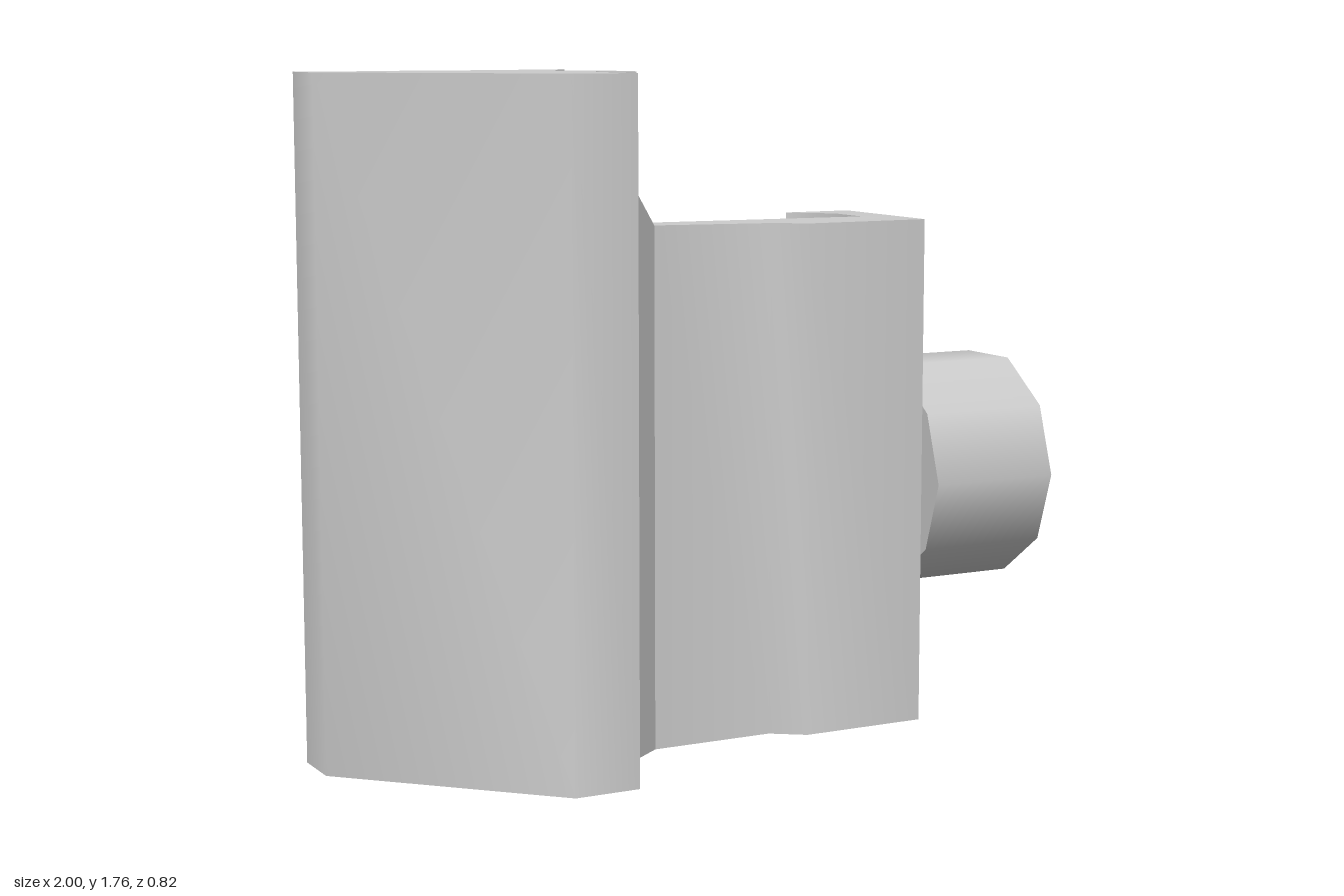
import * as THREE from 'three';
import { toCreasedNormals } from 'three/addons/utils/BufferGeometryUtils.js';

const material = new THREE.MeshStandardMaterial({ color: 0xcccccc });

// Upright prism from an outline of [x, z] points; the top height may depend on x.
function prism(name, outline, bottom, top) {
  const shape = new THREE.Shape(outline.map(([x, z]) => new THREE.Vector2(x, -z)));
  const geo = new THREE.ExtrudeGeometry(shape, { depth: 1, bevelEnabled: false });
  geo.rotateX(-Math.PI / 2);
  const pos = geo.attributes.position;
  for (let i = 0; i < pos.count; i++) {
    pos.setY(i, pos.getY(i) > 0.5 ? top(pos.getX(i)) : bottom);
  }

  // Front faces blend softly into each other, all other faces stay crisp.
  const flat = toCreasedNormals(geo, 0.01);
  const soft = toCreasedNormals(geo, 0.9).attributes.normal;
  const n = flat.attributes.normal;
  for (let i = 0; i < n.count; i++) {
    if (n.getZ(i) > 0.05 && Math.abs(n.getY(i)) < 0.1) {
      n.setXYZ(i, soft.getX(i), soft.getY(i), soft.getZ(i));
    }
  }
  const mesh = new THREE.Mesh(flat, material);
  mesh.name = name;
  return mesh;
}

export function createModel() {
  const model = new THREE.Group();
  model.name = 'railClamp';

  // Tall wedge-shaped block with stepped back and dovetail notch
  model.add(prism('mainBlock', [
    [-1, -0.06], [-0.53, 0.41], [-0.355, 0.41], [-0.355, 0.17], [-0.32, 0.13],
    [-0.22, 0.13], [-0.22, -0.045], [-0.335, -0.155], [-0.23, -0.27],
    [-0.4, -0.27], [-0.43, -0.24], [-0.75, -0.235], [-0.78, -0.2], [-1, -0.2],
  ], 0.01, () => 1.76));

  // Sloped fillet between the tall block and the web
  model.add(prism('webFillet', [
    [-0.22, 0.13], [-0.14, 0.07], [-0.14, -0.03], [-0.22, -0.045],
  ], 0, (x) => (x < -0.2 ? 1.46 : 1.37)));

  // Thin web ending in a hooked jaw
  model.add(prism('webAndJaw', [
    [-0.14, 0.07], [0.2, 0.07], [0.285, 0.13], [0.635, 0.13], [0.635, -0.27],
    [0.44, -0.27], [0.54, -0.17], [0.54, -0.04], [-0.14, -0.03],
  ], 0, (x) => (x < 0 ? 1.37 : 1.365)));

  // Ten-sided knob on the side of the jaw
  const knob = new THREE.Mesh(new THREE.CylinderGeometry(0.315, 0.315, 0.365, 10), material);
  knob.name = 'knob';
  knob.rotation.z = Math.PI / 2;
  knob.position.set(0.8175, 0.66, -0.1);
  model.add(knob);

  return model;
}
